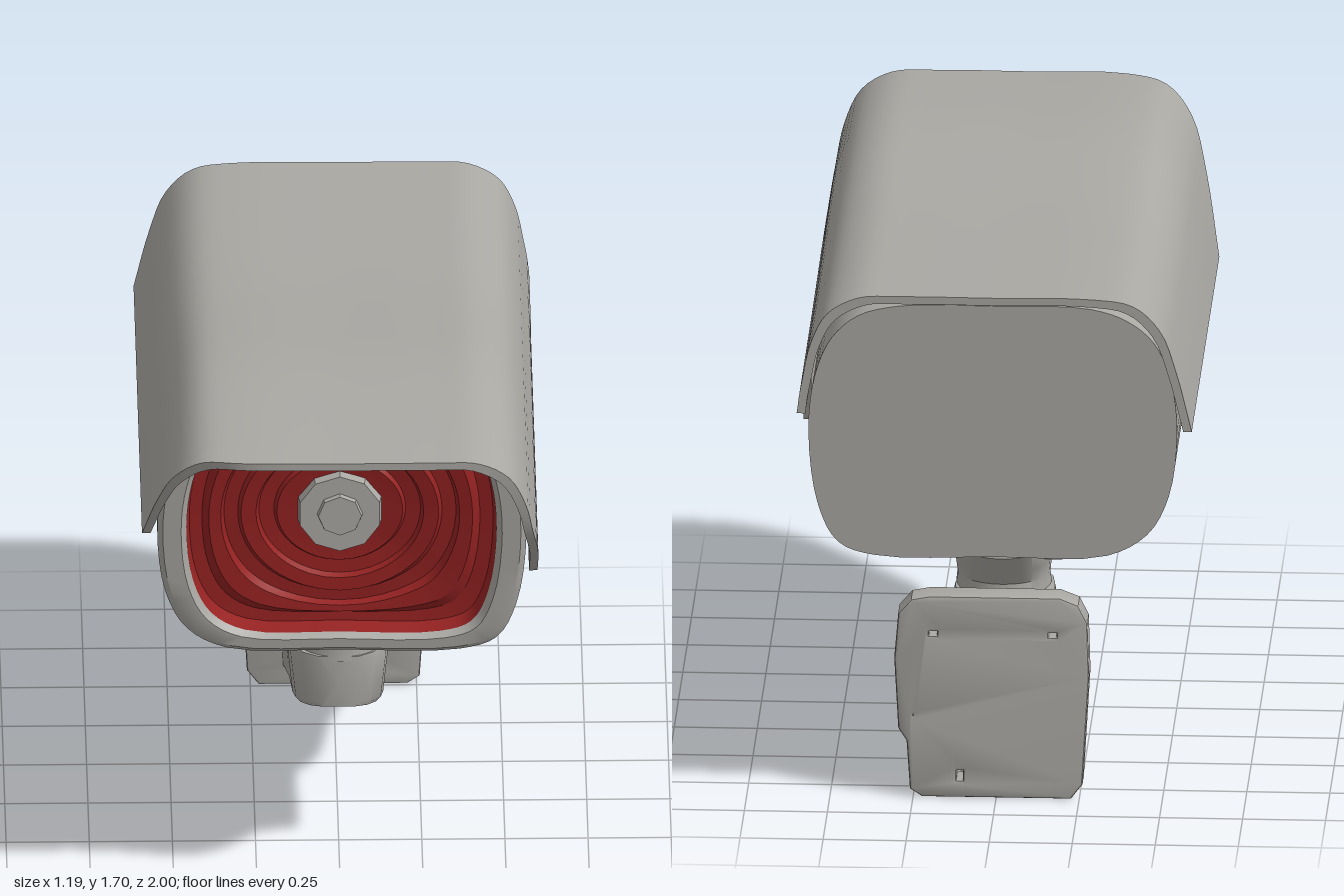
import * as THREE from 'three';
import { toCreasedNormals } from 'three/addons/utils/BufferGeometryUtils.js';

const V = (x, y, z) => new THREE.Vector3(x, y, z);
const clamp = THREE.MathUtils.clamp;
const lerp = THREE.MathUtils.lerp;

// Skin closed rings of equal length; rings run counter-clockwise seen from the last ring
function loft(rings, crease = 0.6) {
  const pos = [];
  const tri = (a, b, c) => {
    if (b.clone().sub(a).cross(c.clone().sub(a)).length() > 1e-8)
      for (const p of [a, b, c]) pos.push(p.x, p.y, p.z);
  };
  for (let j = 0; j < rings.length - 1; j++) {
    const n = rings[j].length;
    for (let i = 0; i < n; i++) {
      const k = (i + 1) % n;
      tri(rings[j][i], rings[j][k], rings[j + 1][k]);
      tri(rings[j][i], rings[j + 1][k], rings[j + 1][i]);
    }
  }
  const g = new THREE.BufferGeometry();
  g.setAttribute('position', new THREE.Float32BufferAttribute(pos, 3));
  return toCreasedNormals(g, crease);
}

// Collapse a ring to its centre, used as an end cap
function cap(ring) {
  const c = ring.reduce((s, p) => s.add(p), V(0, 0, 0)).divideScalar(ring.length);
  return ring.map(() => c.clone());
}
const capped = (rings) => [cap(rings[0]), ...rings, cap(rings[rings.length - 1])];

// Interpolate a list of [z, y] pairs with falling z
function along(list, z) {
  for (let i = 0; i < list.length - 1; i++) {
    const [z0, y0] = list[i], [z1, y1] = list[i + 1];
    if (z >= z1) return lerp(y0, y1, clamp((z0 - z) / (z0 - z1), 0, 1));
  }
  return list[list.length - 1][1];
}

export function createModel() {
  const model = new THREE.Group();
  const grey = new THREE.MeshStandardMaterial({ color: 0xaaa8a3 });
  grey.name = 'warm grey';
  const red = new THREE.MeshStandardMaterial({ color: 0x962222 });
  red.name = 'deep red';
  const add = (name, geometry, material = grey) => {
    const m = new THREE.Mesh(geometry, material);
    m.name = name;
    model.add(m);
    return m;
  };

  // Housing outline, counter-clockwise from the front
  const outline = new THREE.CatmullRomCurve3([
    [0.56, 1.2], [0.54, 1.4], [0.49, 1.53], [0.41, 1.61], [0.29, 1.645], [0, 1.65], [-0.29, 1.645],
    [-0.4, 1.605], [-0.48, 1.53], [-0.53, 1.4], [-0.55, 1.22], [-0.525, 1.0], [-0.46, 0.87],
    [-0.34, 0.8], [0, 0.79], [0.36, 0.79], [0.47, 0.83], [0.53, 0.95],
  ].map(([x, y]) => V(x, y, 0)), true).getPoints(72).slice(0, -1);
  const CY = 1.24;
  const bodyRing = (z) => outline.map((p) => {
    const top = clamp((p.y - CY) / 0.4, 0, 1), low = clamp((CY - p.y) / 0.4, 0, 1);
    const y = p.y - top * along([[0.5, 0], [-0.2, 0.035], [-1, 0.04]], z)
      + low * along([[0.3, 0], [-0.6, 0.035], [-0.95, 0.022]], z);
    return V(p.x, y, z);
  });
  // Front rings lean forward towards the top
  const faceRing = (sx, sy, dz) => outline.map((p) => {
    const y = CY + (p.y - CY) * sy;
    return V(p.x * sx, y, 0.505 + 0.09 * (y - 0.8) + dz);
  });
  const back = bodyRing(-0.945);
  add('housing', loft([cap(back), back, bodyRing(-0.6), bodyRing(-0.2), bodyRing(0.1), bodyRing(0.4),
    faceRing(1, 1, 0), faceRing(0.97, 0.97, 0.012), faceRing(0.87, 0.9, 0.012), faceRing(0.84, 0.87, -0.01)]));

  // Recessed red rings blending from the opening shape to a circle
  const lensRing = (r, round, dz) => faceRing(0.84 * r, 0.87 * r, dz).map((p) => {
    const a = Math.atan2(p.y - CY, p.x);
    return V(lerp(p.x, 0.45 * r * Math.cos(a), round), lerp(p.y, CY + 0.42 * r * Math.sin(a), round), p.z);
  });
  const lensRings = [[1, 0, -0.01], [0.98, 0, -0.07], [0.9, 0.1, -0.075], [0.86, 0.3, -0.055], [0.79, 0.7, -0.06],
    [0.77, 0.8, -0.085], [0.68, 0.9, -0.085], [0.66, 1, -0.07], [0.56, 1, -0.075], [0.54, 1, -0.095],
    [0.44, 1, -0.1], [0.42, 1, -0.085], [0.3, 1, -0.09]].map((a) => lensRing(...a));
  add('lensSurround', loft([...lensRings, cap(lensRings[lensRings.length - 1])], 0.5), red);

  // Lens barrel and its pupil
  const disc = (name, r, len, z, sides) => {
    const d = add(name, toCreasedNormals(new THREE.CylinderGeometry(r * 0.93, r, len, sides), 0.5));
    d.rotation.x = Math.PI / 2;
    d.position.set(0, CY + 0.005, z);
  };
  disc('lens', 0.135, 0.06, 0.465, 10);
  disc('lensCentre', 0.07, 0.02, 0.5, 8);

  // Sun hood: profile points carry x, y and the z of the front edge
  const profile = new THREE.CatmullRomCurve3([
    [0.592, 1.12, 0.63], [0.59, 1.3, 0.84], [0.575, 1.4, 0.925], [0.55, 1.52, 0.965], [0.5, 1.62, 0.985],
    [0.41, 1.673, 0.995], [0.28, 1.68, 1], [0, 1.68, 1], [-0.3, 1.68, 0.995], [-0.42, 1.66, 0.955],
    [-0.5, 1.58, 0.89], [-0.55, 1.44, 0.77], [-0.597, 1.24, 0.6],
  ].map((p) => V(...p))).getPoints(48);
  const crown = [[1, 1.68], [0.75, 1.7], [0.5, 1.712], [0.3, 1.708], [0.1, 1.69], [-0.2, 1.665], [-1, 1.655]];
  const hoodRing = (s, edge) => {
    const outer = [], inner = [];
    for (const p of profile) {
      const z = s > 0 ? s * p.z : s;
      const w = clamp((p.y - 1.24) / 0.42, 0, 1);
      // The left skirt steps up near the back
      const low = p.x > 0 ? along([[-0.6, 1.12], [-0.615, 1.16], [-0.64, 1.25], [-0.68, 1.28]], z) : 0;
      const y = Math.max(p.y, low) + w * (along(crown, z) - 1.68);
      const o = V(p.x, y, z), i = V(p.x * 0.957, y - 0.024 * w, z);
      const mid = o.clone().lerp(i, 0.5);
      outer.push(edge ? mid : o);
      inner.unshift(edge ? mid.clone() : i);
    }
    return [...outer, ...inner];
  };
  const stations = [-1, -0.68, -0.64, -0.615, -0.6, -0.4, -0.2, -0.05, 0.1, 0.2, 0.3, 0.4, 0.5, 0.6, 0.75, 0.9, 1];
  add('sunHood', loft([hoodRing(-1, true), ...stations.map((s) => hoodRing(s)), hoodRing(1, true)], 0.7));

  // Swivel parts: ellipses stacked upwards as [y, centre z, radius x, radius z]
  const stack = (name, rows) => add(name, loft(capped(rows.map(([y, cz, rx, rz]) =>
    Array.from({ length: 28 }, (_, i) => {
      const a = (i / 28) * Math.PI * 2;
      return V(0.01 + rx * Math.cos(a), y, cz - rz * Math.sin(a));
    })))));
  stack('neck', [[0.46, -0.19, 0.145, 0.145], [0.51, -0.19, 0.14, 0.14], [0.56, -0.21, 0.145, 0.16],
    [0.62, -0.235, 0.15, 0.18], [0.68, -0.235, 0.15, 0.165]]);
  stack('swivelFlange', [[0.672, -0.23, 0.17, 0.19], [0.68, -0.23, 0.185, 0.213], [0.69, -0.23, 0.175, 0.2]]);
  stack('collar', [[0.685, -0.23, 0.15, 0.165], [0.73, -0.23, 0.14, 0.155], [0.77, -0.235, 0.15, 0.18],
    [0.8, -0.25, 0.16, 0.24], [0.84, -0.29, 0.18, 0.34]]);
  for (const side of [-1, 1]) {
    const bolt = add('pivotBolt', new THREE.CylinderGeometry(0.055, 0.055, 0.06, 8));
    bolt.rotation.z = Math.PI / 2;
    bolt.position.set(0.01 + side * 0.15, 0.63, -0.28);
  }

  // Bracket arm sections from the wall forward: z, centre x, half width, bottom, top
  const arm = [[-0.77, -0.02, 0.15, 0.04, 0.45], [-0.7, -0.02, 0.145, 0.07, 0.45], [-0.45, -0.01, 0.145, 0.175, 0.46],
    [-0.22, 0.005, 0.155, 0.25, 0.475], [-0.14, 0.005, 0.145, 0.275, 0.475], [-0.08, 0.005, 0.11, 0.295, 0.475],
    [-0.05, 0.005, 0.06, 0.305, 0.475]].map(([z, cx, w, y0, y1]) =>
    [[0.78, 0], [0.88, 0.08], [1, 0.9], [0.97, 1], [-0.97, 1], [-1, 0.9], [-0.88, 0.08], [-0.78, 0]]
      .map(([u, v]) => V(cx + u * w, lerp(y0, y1, v), z)));
  add('bracketArm', loft(capped(arm), 0.65));

  // Gusset where the arm meets the wall plate
  const gussetShape = new THREE.Shape([[-0.77, 0.4], [-0.62, 0.44], [-0.67, 0.47], [-0.69, 0.52], [-0.7, 0.62], [-0.77, 0.62]]
    .map(([z, y]) => new THREE.Vector2(z, y)));
  const gusset = new THREE.ExtrudeGeometry(gussetShape, { depth: 0.22, bevelEnabled: false });
  gusset.rotateY(-Math.PI / 2).translate(0.11, 0, 0);
  add('gusset', gusset);

  // Wall plate with screw holes
  const plate = new THREE.Shape([[-0.22, 0.02], [0.22, 0.02], [0.25, 0.04], [0.26, 0.19], [0.285, 0.23], [0.297, 0.45],
    [0.285, 0.59], [0.25, 0.63], [0.2, 0.64], [-0.19, 0.64], [-0.24, 0.62], [-0.265, 0.57], [-0.27, 0.4], [-0.25, 0.06]]
    .map(([x, y]) => new THREE.Vector2(x, y)));
  for (const [x, y, w, h] of [[-0.17, 0.53, 0.022, 0.016], [0.19, 0.53, 0.022, 0.016], [0.11, 0.08, 0.02, 0.025], [0.25, 0.27, 0.008, 0.01]]) {
    plate.holes.push(new THREE.Path([[-w, -h], [-w, h], [w, h], [w, -h]]
      .map(([a, b]) => new THREE.Vector2(x + a, y + b))));
  }
  const plateGeo = new THREE.ExtrudeGeometry(plate,
    { depth: 0.075, bevelThickness: 0.01, bevelSize: 0.01, bevelSegments: 2 });
  plateGeo.translate(0, 0, -0.84);
  add('wallPlate', toCreasedNormals(plateGeo, 0.6));

  // Small drain plug under the housing
  add('drainPlug', new THREE.BoxGeometry(0.09, 0.03, 0.07)).position.set(0, 0.795, 0.29);
  return model;
}
